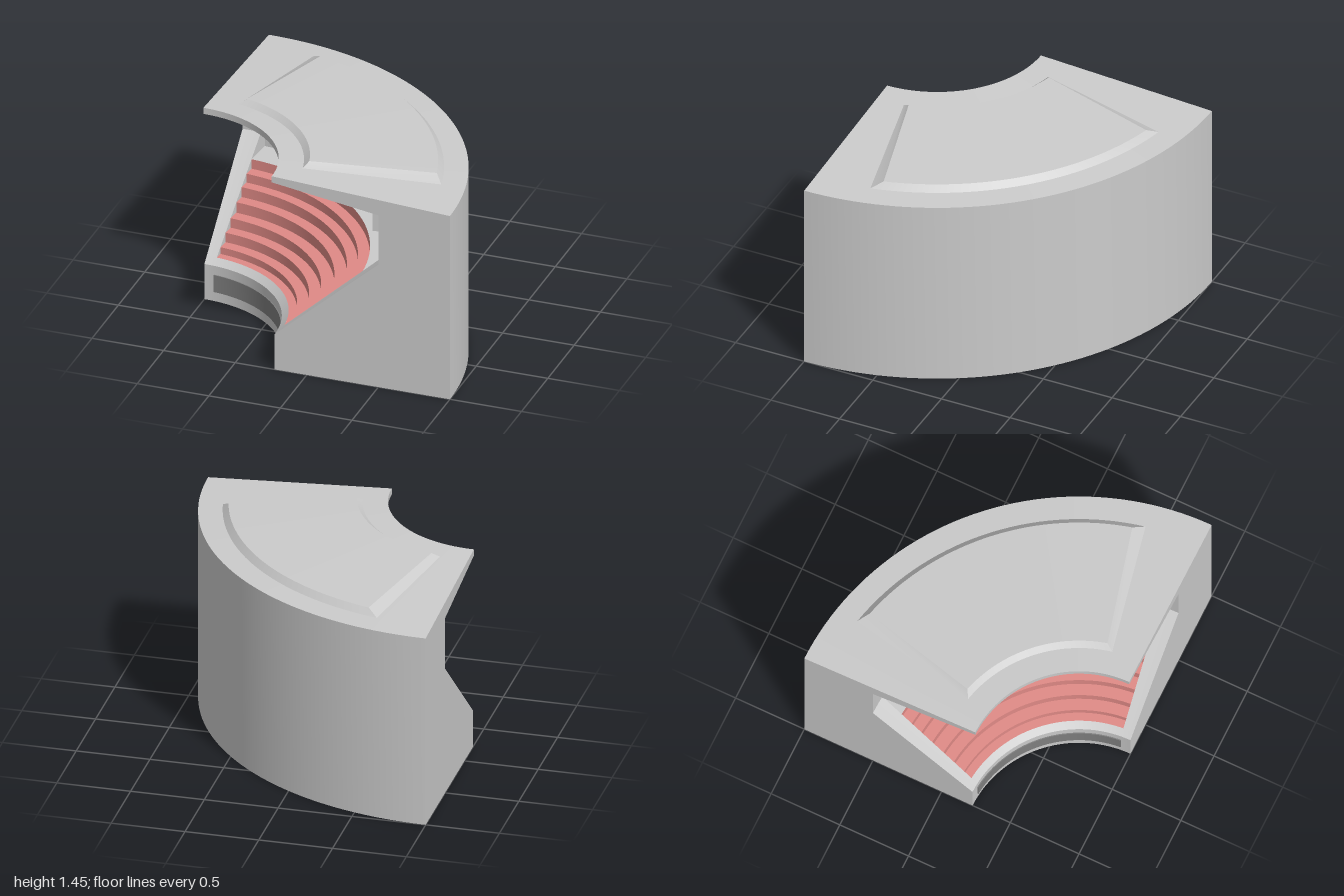
import * as THREE from 'three';
import { mergeGeometries } from 'three/addons/utils/BufferGeometryUtils.js';

const DEG = Math.PI / 180;

// Point at radius r, height y and angle a (degrees) about the pitch axis
const polar = (r, y, a) => [-1 + r * Math.cos(a * DEG), y, 1 - r * Math.sin(a * DEG)];

function geometry(positions, index) {
  const g = new THREE.BufferGeometry();
  g.setAttribute('position', new THREE.Float32BufferAttribute(positions, 3));
  g.setIndex(index);
  g.computeVertexNormals();
  return g;
}

// Sweep a path of [r, y, inset] around the axis; each strip is smooth, its edges are sharp
function sweep(path, a0, a1) {
  const n = Math.max(2, Math.ceil((a1 - a0) / 2));
  const strips = [];
  for (let i = 0; i + 1 < path.length; i++) {
    const pos = [], idx = [];
    for (let j = 0; j <= n; j++) {
      for (const [r, y, inset = 0] of [path[i], path[i + 1]]) {
        const lo = a0 + inset, hi = a1 - inset;
        pos.push(...polar(r, y, lo + ((hi - lo) * j) / n));
      }
      if (j < n) idx.push(2 * j, 2 * j + 2, 2 * j + 1, 2 * j + 1, 2 * j + 2, 2 * j + 3);
    }
    strips.push(geometry(pos, idx));
  }
  return mergeGeometries(strips);
}

// Flat radial face with the given outline; sign picks the side for insets and facing
function cap(outline, a, sign) {
  const faces = THREE.ShapeUtils.triangulateShape(outline.map(([r, y]) => new THREE.Vector2(r, y)), []);
  const pos = outline.flatMap(([r, y, inset = 0]) => polar(r, y, a + sign * inset));
  return geometry(pos, faces.flatMap(([i, j, k]) => (sign > 0 ? [i, j, k] : [i, k, j])));
}

// Closed sector: swept outline plus both end faces
const sector = (outline, a0, a1) => mergeGeometries([
  sweep([...outline, outline[0]], a0, a1), cap(outline, a0, 1), cap(outline, a1, -1),
]);

export function createModel() {
  const group = new THREE.Group();
  const material = (color) => new THREE.MeshStandardMaterial({ color, side: THREE.DoubleSide });
  const grey = material(0xcccccc), dark = material(0x7f7f7f);
  const red = material(0xe08a86), blue = material(0x94a5b6);
  const add = (name, geo, mat = grey) => {
    const mesh = new THREE.Mesh(geo, mat);
    mesh.name = name;
    group.add(mesh);
  };

  // Stepped seating, from the top row down to the front row
  const levels = [0.775, 0.705, 0.64, 0.567, 0.49, 0.42, 0.35, 0.3];
  const slopeR = (y) => 0.775 + ((y - 0.26) * 0.725) / 0.645;
  const steps = [[slopeR(0.775), 0.775]];
  for (let i = 1; i < levels.length; i++) {
    steps.push([slopeR(levels[i - 1]), levels[i]], [slopeR(levels[i]), levels[i]]);
  }
  const foot = [slopeR(0.3), 0.3];

  // Outer shell with the roof, shared by the whole quarter
  const shell = [foot, [0.775, 0.26], [0.775, 0], [2, 0], [2, 1.355],
    [0.755, 1.425], [0.755, 1.38], [1.5, 1.27]];
  add('shellAndRoof', sweep(shell, 0, 90));

  // Cut faces at both ends of the quarter
  const section = [...shell, [1.5, 0.905]];
  add('rightCutFace', cap(section, 0, 1));
  add('leftCutFace', cap(section, 90, -1));

  // Plain bowl strips beside the seating, with the cheek walls of the recess
  const slope = [[1.5, 1.27], [1.5, 0.905], foot];
  const cheek = [[1.5, 0.905], [1.5, 1.08], [1.56, 1.08], [1.56, 0.775], ...steps];
  for (const [a0, a1, edge, sign] of [[0, 5, 5, 1], [85, 90, 85, -1]]) {
    add('bowlStrip', sweep(slope, a0, a1));
    add('recessCheek', cap(cheek, edge, sign));
  }

  // Seating rows and the concourse floor behind them
  add('seating', sweep(steps, 5, 85), red);
  add('concourse', sweep([[1.56, 0.775], [slopeR(0.775), 0.775]], 5, 85));

  // Back wall around the entrance
  add('wallAboveEntrance', sweep([[1.56, 1.08], [1.56, 1]], 5, 85));
  for (const [a0, a1] of [[5, 20], [70, 85]]) {
    add('wallBesideEntrance', sweep([[1.56, 1], [1.56, 0.775]], a0, a1));
  }

  // Deep entrance niche, open towards the pitch
  const niche = [[1.56, 1], [1.81, 1], [1.81, 0.775], [1.56, 0.775]];
  add('entranceNiche', mergeGeometries([sweep(niche, 20, 70), cap(niche, 20, 1), cap(niche, 70, -1)]), dark);

  // Box level projecting under the roof, and its window
  add('boxLevel', sector([[1.42, 1.281], [1.42, 1.08], [1.56, 1.08], [1.56, 1.265]], 5, 85));
  add('boxWindow', sector([[1.412, 1.22], [1.412, 1.085], [1.42, 1.085], [1.42, 1.22]], 8.6, 81.4), blue);

  // Board along the front wall
  add('frontBoard', sector([[0.768, 0.195], [0.768, 0.07], [0.775, 0.07], [0.775, 0.195]], 5, 85), dark);

  // Raised bevelled panel on the roof
  add('roofPanel', sector([[0.92, 1.415], [1.84, 1.363], [1.8, 1.405, 2.6], [0.96, 1.45, 2.6]], 12, 78));

  return group;
}
